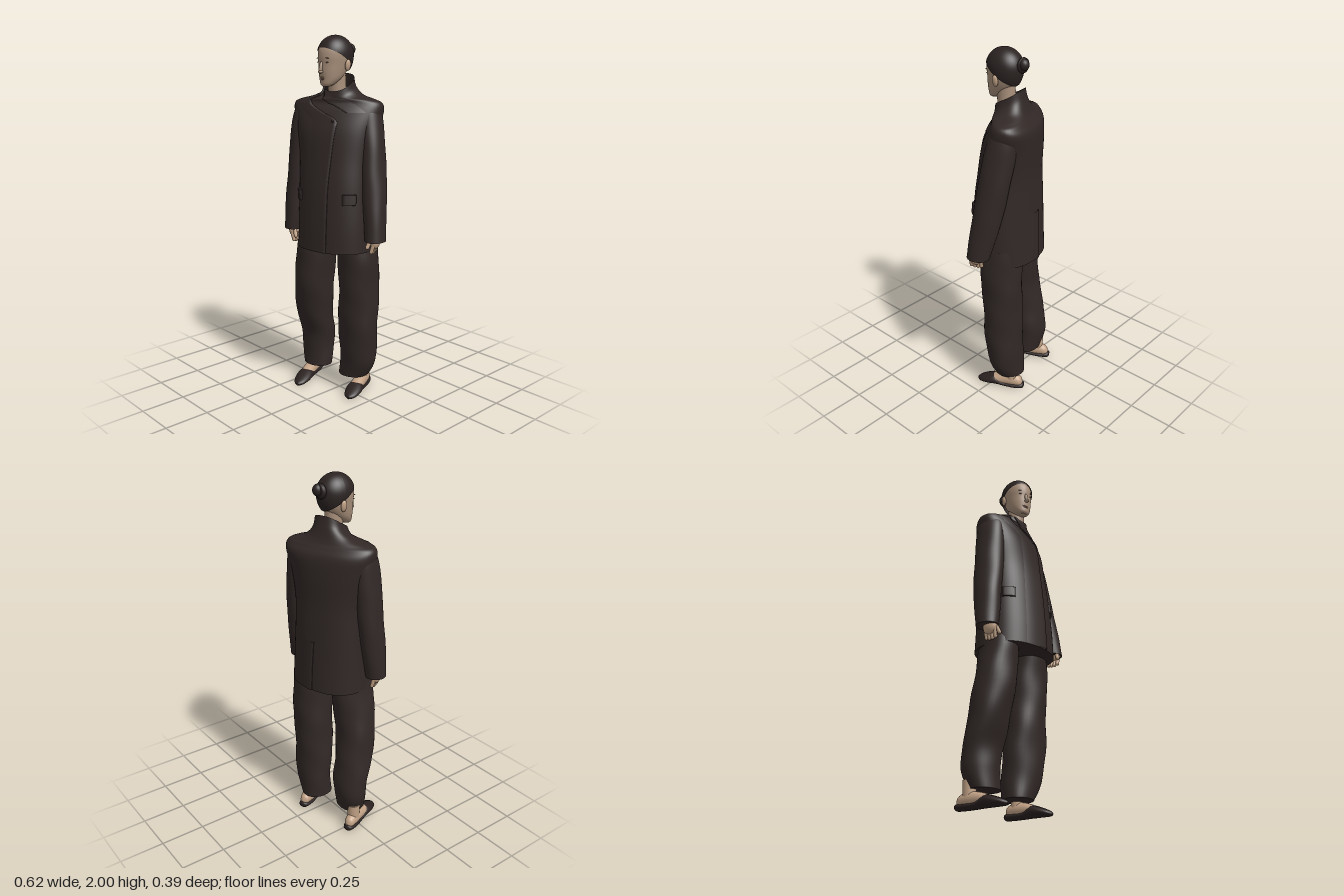
import * as THREE from 'three';

const YAW = 0.43; // the shoulders are turned towards the figure's left, the head faces forward
const mat = (name, color, side = THREE.FrontSide) => {
  const m = new THREE.MeshStandardMaterial({ color, side });
  m.name = name;
  return m;
};

// Catmull-Rom sample of sections [height, cx, cz, rx, rz, tilt, yaw]
function sectionAt(secs, u) {
  const n = secs.length - 1, i = Math.min(Math.floor(u * n), n - 1), f = u * n - i;
  const p = k => secs[Math.max(0, Math.min(n, k))];
  return [0, 1, 2, 3, 4, 5, 6].map(k => {
    const [a, b, c, d] = [p(i - 1), p(i), p(i + 1), p(i + 2)].map(s => s[k] || 0);
    return b + 0.5 * f * (c - a + f * (2 * a - 5 * b + 4 * c - d + f * (3 * (b - c) + d - a)));
  });
}

// Point on a lofted surface at u along it and angle t around it
function pointAt(secs, u, t, { power = 1, fold = 0, lift = 0 } = {}) {
  const [y, cx, cz, rx, rz, tilt, yaw] = sectionAt(secs, u);
  const pw = v => Math.sign(v) * Math.abs(v) ** power;
  const k = 1 + fold * (Math.sin(3 * t + 17 * y) + 0.6 * Math.sin(2 * t - 31 * y));
  const x = (rx * k + lift) * pw(Math.cos(t)), z = (rz * k + lift) * pw(Math.sin(t));
  return [cx + x * Math.cos(yaw) + z * Math.sin(yaw), y + tilt * Math.sin(t),
    cz - x * Math.sin(yaw) + z * Math.cos(yaw)];
}

function build(pos, idx) {
  const g = new THREE.BufferGeometry();
  g.setAttribute('position', new THREE.Float32BufferAttribute(pos, 3));
  g.setIndex(idx);
  g.computeVertexNormals();
  return g;
}

// Closed tube through sections listed from bottom to top
function loft(secs, opt = {}) {
  const { rows = 36, seg = 36, capTop = true } = opt;
  const pos = [], idx = [];
  const ring = u => { for (let j = 0; j < seg; j++) pos.push(...pointAt(secs, u, j / seg * Math.PI * 2, opt)); };
  for (let i = 0; i <= rows; i++) ring(i / rows);
  for (let i = 0; i < rows; i++) for (let j = 0; j < seg; j++) {
    const a = i * seg + j, b = i * seg + (j + 1) % seg;
    idx.push(a, a + seg, b, b, a + seg, b + seg);
  }
  for (const top of capTop ? [0, 1] : [0]) {
    const base = pos.length / 3, s = sectionAt(secs, top);
    ring(top);
    pos.push(s[1], s[0], s[2]);
    for (let j = 0; j < seg; j++) {
      const a = base + j, b = base + (j + 1) % seg;
      idx.push(base + seg, top ? b : a, top ? a : b);
    }
  }
  return build(pos, idx);
}

// Cloth panel on a lofted surface between two angle curves (degrees).
// With fade, it stands off at its first edge and melts into the cloth at its last.
function panel(secs, opt, y0, y1, from, to, lift, fade) {
  const uAt = y => {
    let lo = 0, hi = 1;
    for (let i = 0; i < 30; i++) { const m = (lo + hi) / 2; if (sectionAt(secs, m)[0] < y) lo = m; else hi = m; }
    return lo;
  };
  const pos = [], idx = [], R = 40, C = 10;
  for (let i = 0; i <= R; i++) {
    const y = y0 + (y1 - y0) * i / R, u = uAt(y);
    for (let j = 0; j <= C; j++) {
      const w = Math.max(0, j - 1) / (C - 1), t = from(y) + (to(y) - from(y)) * w;
      const edge = j === 0 || (!fade && (j === C || i === 0 || i === R));
      const h = edge ? -0.001 : fade ? lift * (1 - w) - 0.002 * w : lift;
      pos.push(...pointAt(secs, u, t * Math.PI / 180, { ...opt, lift: h }));
    }
  }
  for (let i = 0; i < R; i++) for (let j = 0; j < C; j++) {
    const a = i * (C + 1) + j, c = a + C + 1;
    idx.push(a, c, a + 1, a + 1, c, c + 1);
  }
  return build(pos, idx);
}

export function createModel() {
  const cloth = mat('dark cloth', 0x312826, THREE.DoubleSide);
  const hairMat = mat('hair', 0x2b2322, THREE.DoubleSide);
  const shoeMat = mat('shoe leather', 0x2b2221);
  const faceMat = mat('face skin', 0xa88f7a);
  const skin = mat('limb skin', 0xc2a286);
  const lipMat = mat('lips', 0x987666);
  const eyeMat = mat('eyes', 0x6e5b4e);
  const root = new THREE.Group();
  root.name = 'standingFigure';
  const add = (name, geo, m, parent = root) => {
    const mesh = new THREE.Mesh(geo, m);
    mesh.name = name;
    parent.add(mesh);
    return mesh;
  };
  const blob = (name, m, p, s, parent = root) => {
    const b = add(name, new THREE.SphereGeometry(1, 20, 14), m, parent);
    b.position.set(...p);
    b.scale.set(...s);
    return b;
  };

  // Jacket body, twisting from hem to shoulders, with standing collar
  const jacket = [
    [0.855, -0.015, 0.002, 0.224, 0.186, 0, 0.2], [1.0, -0.015, 0.002, 0.22, 0.18, 0, 0.21],
    [1.2, -0.02, 0, 0.213, 0.168, 0, 0.24], [1.35, -0.025, -0.005, 0.212, 0.155, 0, 0.3],
    [1.5, -0.035, -0.015, 0.232, 0.146, 0, 0.38], [1.6, -0.04, -0.03, 0.254, 0.126, 0, YAW],
    [1.645, -0.04, -0.028, 0.25, 0.1, 0, YAW], [1.665, -0.036, -0.022, 0.212, 0.092, 0, YAW],
    [1.685, -0.028, -0.018, 0.14, 0.086, -0.012, 0.4], [1.715, -0.018, -0.015, 0.09, 0.08, -0.035, 0.35],
    [1.755, -0.014, -0.014, 0.076, 0.074, -0.045, 0.3],
  ];
  const jOpt = { power: 0.86, rows: 60, seg: 56, capTop: false };
  add('jacketBody', loft(jacket, jOpt), cloth);
  const front = y => 79 + Math.max(0, y - 1.56) * 420;
  add('frontOverlap', panel(jacket, jOpt, 0.856, 1.752, front, y => front(y) + 35, 0.009, true), cloth);
  add('innerLapel', panel(jacket, jOpt, 1.6, 1.752, y => front(y) - 24, y => front(y) - 60, 0.007, true), cloth);
  add('backVent', panel(jacket, jOpt, 0.856, 1.14, () => 268, () => 290, 0.007, true), cloth);
  for (const [name, a, b] of [['rightPocketFlap', 126, 150], ['leftPocketFlap', 32, 56]])
    add(name, panel(jacket, jOpt, 1.12, 1.178, () => a, () => b, 0.009, false), cloth);
  blob('button', shoeMat, pointAt(jacket, 0.45, 1.48, { ...jOpt, lift: 0.008 }), [0.007, 0.007, 0.005]);

  // Sleeves, their tops tucked under the shoulder line
  const sOpt = { fold: 0.014 };
  const sleeve = secs => loft(secs.map(s => [...s, 0, YAW]), sOpt);
  add('rightSleeve', sleeve([
    [0.935, -0.257, 0.113, 0.054, 0.063], [1.1, -0.249, 0.096, 0.062, 0.078], [1.25, -0.237, 0.082, 0.067, 0.084],
    [1.45, -0.222, 0.07, 0.068, 0.087], [1.57, -0.214, 0.06, 0.063, 0.083], [1.625, -0.21, 0.052, 0.052, 0.07],
    [1.652, -0.2, 0.045, 0.03, 0.045],
  ]), cloth);
  add('leftSleeve', sleeve([
    [0.925, 0.254, -0.026, 0.056, 0.064], [1.1, 0.225, -0.05, 0.062, 0.077], [1.25, 0.197, -0.068, 0.067, 0.083],
    [1.45, 0.163, -0.088, 0.066, 0.085], [1.57, 0.142, -0.098, 0.06, 0.08], [1.625, 0.133, -0.1, 0.05, 0.066],
    [1.652, 0.122, -0.098, 0.03, 0.042],
  ]), cloth);

  // Wide trousers with soft folds
  const tOpt = { fold: 0.022, power: 0.92 };
  add('rightTrouserLeg', loft([
    [0.1, -0.187, 0, 0.084, 0.072], [0.2, -0.203, -0.012, 0.1, 0.082], [0.3, -0.198, -0.01, 0.106, 0.086],
    [0.42, -0.19, 0.018, 0.108, 0.098], [0.6, -0.17, 0.045, 0.11, 0.108], [0.8, -0.145, 0.04, 0.1, 0.122],
    [0.95, -0.125, 0.03, 0.1, 0.12],
  ], tOpt), cloth);
  add('leftTrouserLeg', loft([
    [0.09, 0.052, -0.07, 0.083, 0.086], [0.2, 0.079, -0.07, 0.11, 0.09], [0.4, 0.09, -0.06, 0.117, 0.1],
    [0.6, 0.096, -0.058, 0.112, 0.108], [0.8, 0.1, -0.05, 0.108, 0.116], [0.95, 0.09, -0.04, 0.1, 0.12],
  ], tOpt), cloth);

  // Feet in low slip-on shoes, lofted from heel to toe
  for (const [name, x, z, len] of [['right', -0.227, 0.04, 1.03], ['left', 0.105, -0.05, 0.95]]) {
    const foot = new THREE.Group();
    foot.name = name + 'Foot';
    foot.position.set(x, 0, z);
    foot.rotation.y = 0.41;
    foot.scale.z = len;
    root.add(foot);
    const along = secs => loft(secs, { rows: 28, seg: 24 }).rotateX(Math.PI / 2);
    add('shoe', along([
      [-0.15, 0, -0.02, 0.006, 0.008], [-0.14, 0, -0.02, 0.026, 0.018], [-0.09, 0, -0.017, 0.037, 0.017],
      [-0.02, 0, -0.018, 0.037, 0.018], [0.03, 0, -0.032, 0.044, 0.032], [0.08, 0, -0.026, 0.046, 0.026],
      [0.13, 0, -0.016, 0.032, 0.016], [0.152, 0, -0.011, 0.007, 0.007],
    ]), shoeMat, foot);
    add('footSkin', along([
      [-0.14, 0, -0.035, 0.008, 0.014], [-0.125, 0, -0.045, 0.026, 0.03], [-0.08, 0, -0.05, 0.034, 0.04],
      [-0.02, 0, -0.046, 0.035, 0.039], [0.04, 0, -0.036, 0.037, 0.03], [0.07, 0, -0.03, 0.028, 0.018],
    ]), skin, foot);
    add('ankle', new THREE.CylinderGeometry(0.036, 0.033, 0.1, 20), skin, foot).position.set(0, 0.095, -0.072);
  }

  // Relaxed hands with fingers hanging down
  for (const [name, x, z, side] of [['right', -0.247, 0.125, -1], ['left', 0.265, -0.015, 1]]) {
    const hand = new THREE.Group();
    hand.name = name + 'Hand';
    hand.position.set(x, 0.925, z);
    hand.rotation.y = YAW;
    hand.scale.setScalar(1.1);
    root.add(hand);
    blob('palm', skin, [0, 0.005, 0], [0.023, 0.042, 0.037], hand);
    for (let i = 0; i < 4; i++) {
      const f = add('finger', new THREE.CapsuleGeometry(0.0095, 0.04, 4, 10), skin, hand);
      f.position.set(-side * 0.006, -0.035 + Math.abs(i - 1.5) * 0.004, -0.026 + i * 0.017);
      f.rotation.z = -side * 0.25;
    }
    const thumb = add('thumb', new THREE.CapsuleGeometry(0.01, 0.035, 4, 10), skin, hand);
    thumb.position.set(-side * 0.022, -0.008, 0.031);
    thumb.rotation.set(-0.35, 0, -side * 0.3);
  }

  // Neck and head
  add('neck', loft([[1.64, -0.012, -0.005, 0.056, 0.058], [1.73, -0.01, 0.008, 0.047, 0.05],
    [1.84, -0.01, 0.015, 0.047, 0.052]]), faceMat);
  add('head', loft([
    [1.735, -0.01, 0.088, 0.02, 0.016], [1.747, -0.01, 0.077, 0.038, 0.036], [1.775, -0.01, 0.057, 0.056, 0.058],
    [1.81, -0.01, 0.041, 0.066, 0.078], [1.85, -0.01, 0.03, 0.073, 0.09], [1.89, -0.01, 0.026, 0.078, 0.097],
    [1.93, -0.01, 0.023, 0.077, 0.093], [1.962, -0.01, 0.02, 0.06, 0.07], [1.985, -0.01, 0.02, 0.025, 0.03],
  ]), faceMat);
  blob('noseBridge', faceMat, [-0.01, 1.836, 0.122], [0.01, 0.034, 0.012]).rotation.x = -0.25;
  blob('noseTip', faceMat, [-0.01, 1.812, 0.126], [0.013, 0.009, 0.013]);
  blob('upperLip', lipMat, [-0.01, 1.781, 0.111], [0.02, 0.004, 0.008]);
  blob('lowerLip', lipMat, [-0.01, 1.774, 0.11], [0.017, 0.005, 0.008]);
  for (const s of [-1, 1]) {
    blob('eye', eyeMat, [-0.01 + s * 0.031, 1.86, 0.11], [0.012, 0.003, 0.005]);
    blob('brow', eyeMat, [-0.01 + s * 0.033, 1.882, 0.111], [0.015, 0.002, 0.005]).rotation.z = -s * 0.1;
    blob('ear', skin, [-0.01 + s * 0.085, 1.845, 0.01], [0.011, 0.03, 0.018]).rotation.z = -s * 0.15;
  }

  // Smooth hair cap: low at the nape, high at the forehead
  const cap = new THREE.SphereGeometry(1, 40, 24, 0, Math.PI * 2, 0, Math.PI * 0.999);
  const p = cap.attributes.position;
  for (let i = 0; i < p.count; i++) {
    const t = Math.atan2(p.getZ(i), p.getX(i));
    const phi = Math.acos(p.getY(i)) / Math.PI * (1.76 - 0.55 * Math.sin(t)), c = Math.cos(phi), r = Math.sin(phi);
    p.setXYZ(i, -0.01 + 0.089 * r * Math.cos(t), 1.9 + c * (c > 0 ? 0.1 : 0.13), 0.02 + 0.104 * r * Math.sin(t));
  }
  cap.computeVertexNormals();
  add('hair', cap, hairMat);
  add('bunCoil', new THREE.TorusGeometry(0.026, 0.014, 12, 28), hairMat).position.set(-0.028, 1.92, -0.085);
  blob('bun', hairMat, [-0.02, 1.926, -0.097], [0.027, 0.031, 0.028]);
  return root;
}
